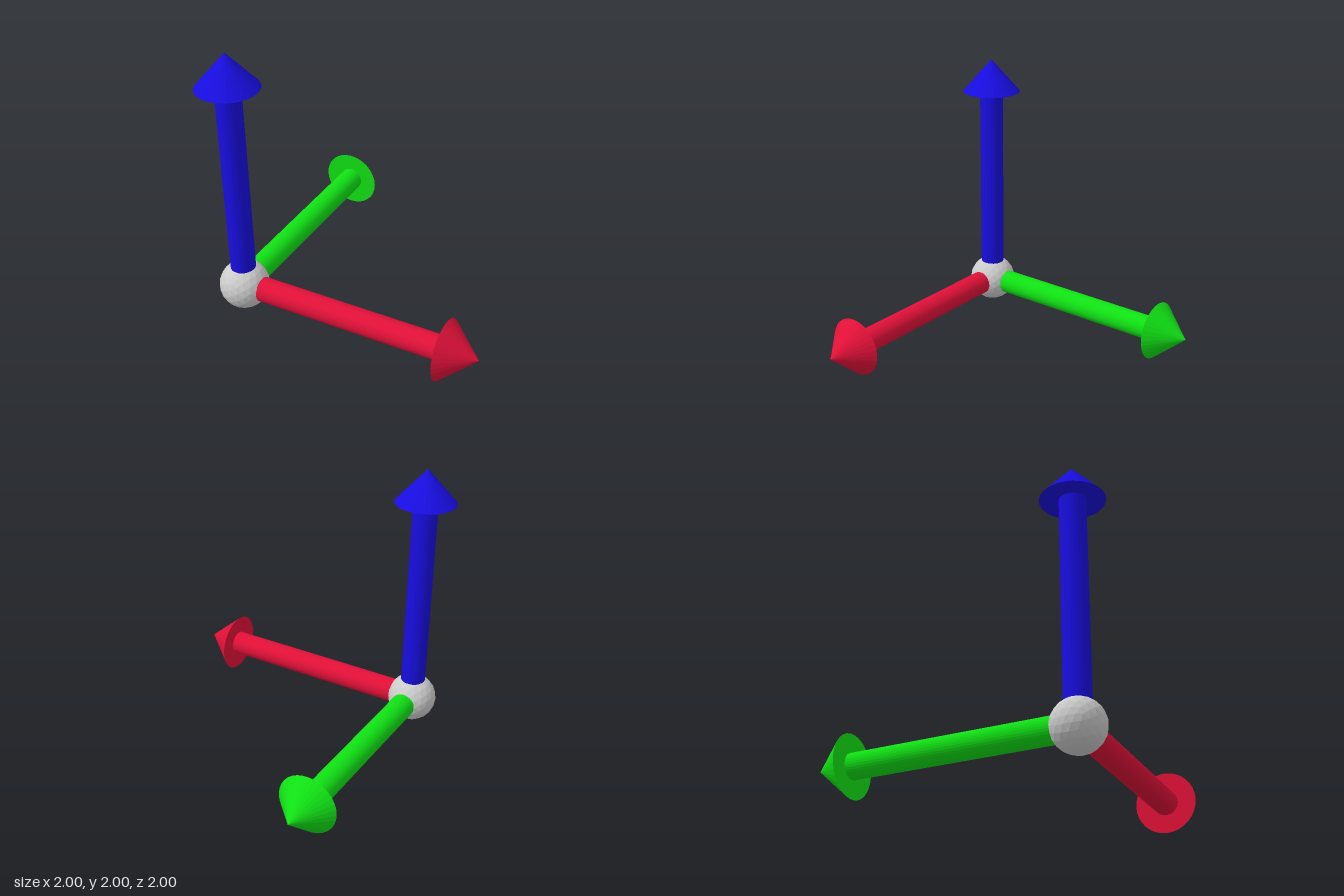
import * as THREE from 'three';

const ORIGIN = new THREE.Vector3(-0.786, 0.216, 0.786);
const SIDES = 32;
const LENGTH = 1.785, HEAD_LENGTH = 0.243, HEAD_RADIUS = 0.214, SHAFT_RADIUS = 0.0875;

function material(color) {
  return new THREE.MeshStandardMaterial({ color, flatShading: true });
}

// Arrow standing on the origin and pointing along +y
function createArrow(name, color) {
  const arrow = new THREE.Group();
  arrow.name = name;
  const mat = material(color);
  const shaftLength = LENGTH - HEAD_LENGTH;

  const shaft = new THREE.Mesh(
    new THREE.CylinderGeometry(SHAFT_RADIUS, SHAFT_RADIUS, shaftLength, SIDES), mat);
  shaft.name = name + 'Shaft';
  shaft.position.y = shaftLength / 2;

  const head = new THREE.Mesh(new THREE.ConeGeometry(HEAD_RADIUS, HEAD_LENGTH, SIDES), mat);
  head.name = name + 'Head';
  head.position.y = shaftLength + HEAD_LENGTH / 2;

  arrow.add(shaft, head);
  return arrow;
}

export function createModel() {
  const model = new THREE.Group();
  model.name = 'axisTriad';

  // Faceted ball where the arrows meet
  const ball = new THREE.Mesh(new THREE.IcosahedronGeometry(0.175, 3), material(0xcccccc));
  ball.name = 'originBall';
  ball.position.copy(ORIGIN);
  model.add(ball);

  // Three arrows: sideways, up and back
  const up = createArrow('upArrow', 0x180de0);
  const side = createArrow('sideArrow', 0xe01038);
  side.rotation.z = -Math.PI / 2;
  const back = createArrow('backArrow', 0x10e014);
  back.rotation.x = -Math.PI / 2;
  for (const arrow of [up, side, back]) {
    arrow.position.copy(ORIGIN);
    model.add(arrow);
  }
  return model;
}
